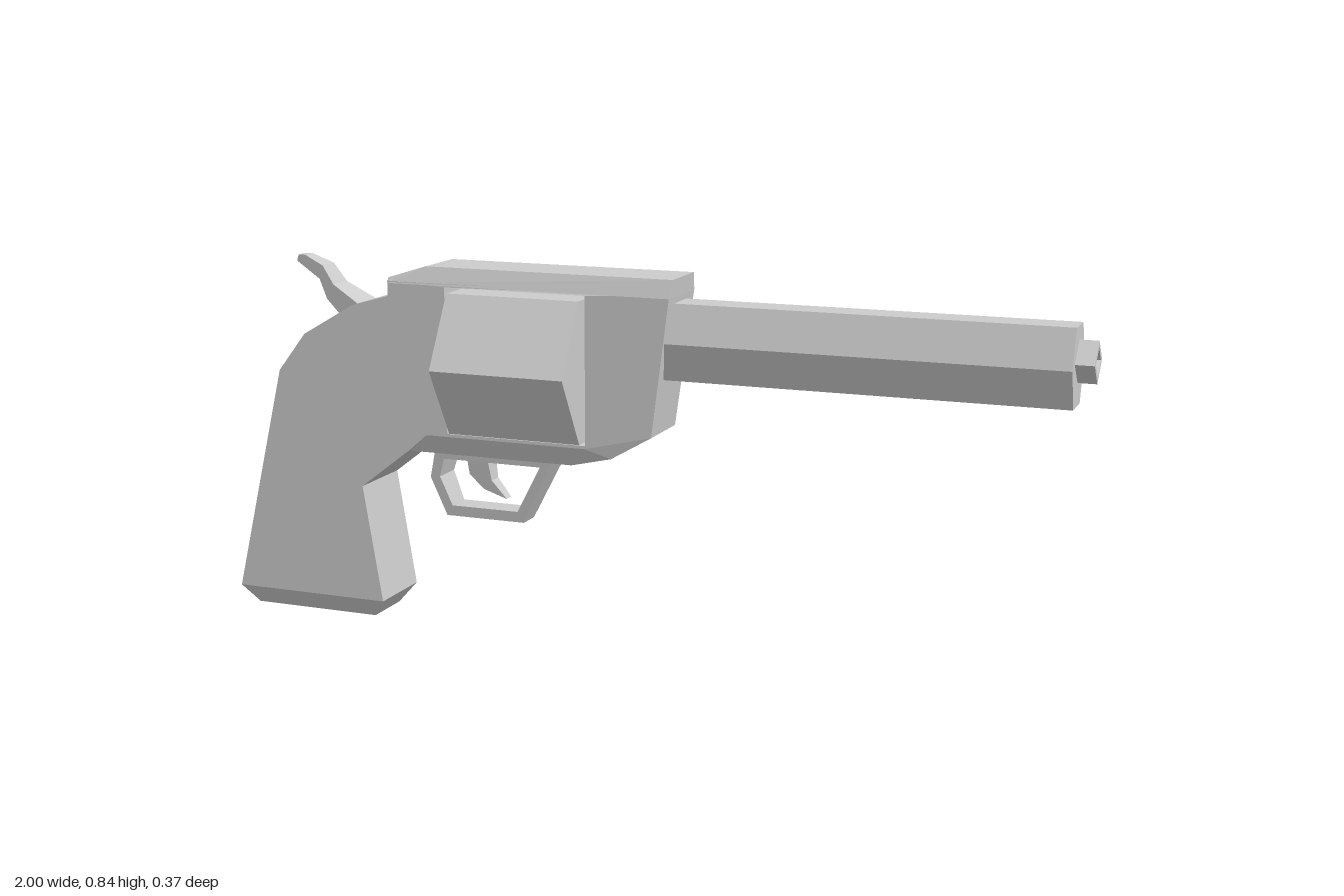
import * as THREE from 'three';
import { ConvexGeometry } from 'three/addons/geometries/ConvexGeometry.js';

const material = new THREE.MeshStandardMaterial({ color: 0xcccccc, flatShading: true });

// Side profile extruded across z; halfWidth(x, y) sets the thickness at each vertex.
function slab(points, halfWidth, hole) {
  const shape = new THREE.Shape(points.map(([x, y]) => new THREE.Vector2(x, y)));
  if (hole) shape.holes.push(new THREE.Path(hole.map(([x, y]) => new THREE.Vector2(x, y))));
  const geo = new THREE.ExtrudeGeometry(shape, { depth: 2, bevelEnabled: false });
  geo.translate(0, 0, -1);
  const p = geo.attributes.position;
  for (let i = 0; i < p.count; i++) p.setZ(i, p.getZ(i) * halfWidth(p.getX(i), p.getY(i)));
  geo.computeVertexNormals();
  return geo;
}

// Convex block from [x, y, half width] corners mirrored across z.
function block(corners) {
  return new ConvexGeometry(corners.flatMap(([x, y, z]) =>
    [new THREE.Vector3(x, y, z), new THREE.Vector3(x, y, -z)]));
}

// Prism along x from a list of [y, z] corners.
function prismX(x0, x1, section) {
  return new ConvexGeometry(section.flatMap(([y, z]) =>
    [new THREE.Vector3(x0, y, z), new THREE.Vector3(x1, y, z)]));
}

function hexagon(cy, height, width, flat) {
  return [[cy, width], [cy + height, flat], [cy + height, -flat],
    [cy, -width], [cy - height, -flat], [cy - height, flat]];
}

export function createModel() {
  const group = new THREE.Group();
  const add = (name, geometry, z = 0) => {
    const mesh = new THREE.Mesh(geometry, material);
    mesh.name = name;
    mesh.position.z = z;
    group.add(mesh);
    return mesh;
  };

  // Grip and frame in one piece, with a window for the cylinder
  add('gripAndFrame', slab(
    [[-1, 0.045], [-0.615, 0.045], [-0.66, 0.32], [-0.53, 0.42], [-0.49, 0.455],
      [-0.1, 0.455], [-0.04, 0.435], [0.055, 0.49], [0.098, 0.805], [-0.58, 0.805],
      [-0.58, 0.77], [-0.67, 0.745], [-0.8, 0.67], [-0.87, 0.58]],
    (x, y) => (x < -0.05 ? 0.085 : y > 0.6 ? 0.08 : 0.075),
    [[-0.437, 0.462], [-0.437, 0.797], [-0.097, 0.797], [-0.097, 0.462]]));

  // Chamfered butt
  add('gripBase', block([[-1, 0.045, 0.085], [-0.615, 0.045, 0.085],
    [-0.965, 0, 0.06], [-0.65, 0, 0.06]]));

  // Chamfered straps above and below the window
  add('topStrap', block([[-0.58, 0.8, 0.083], [0.098, 0.8, 0.08], [-0.58, 0.812, 0.076],
    [-0.49, 0.84, 0.066], [0.102, 0.84, 0.066]]), 0.003);
  add('bottomStrap', block([[-0.49, 0.457, 0.084], [-0.1, 0.457, 0.084], [-0.04, 0.435, 0.075],
    [-0.55, 0.41, 0.064], [-0.14, 0.41, 0.064]]));

  // Six-sided cylinder and barrel
  add('cylinder', prismX(-0.428, -0.108, hexagon(0.625, 0.16, 0.186, 0.093)));
  add('barrel', prismX(0.04, 0.96, hexagon(0.7, 0.085, 0.068, 0.039)), 0.004);

  // Square muzzle with a tapered bore
  const muzzleProfile = [[0.045, 0], [0.045, 0.05], [0.031, 0.05], [0.015, 0.015], [0, 0.015]]
    .map(([r, h]) => new THREE.Vector2(r, h));
  const muzzle = add('muzzle', new THREE.LatheGeometry(muzzleProfile, 4), 0.004);
  muzzle.rotation.z = -Math.PI / 2;
  muzzle.position.x = 0.95;
  muzzle.position.y = 0.71;

  // Hammer, widening towards its base
  add('hammer', slab(
    [[-0.855, 0.828], [-0.79, 0.79], [-0.77, 0.745], [-0.72, 0.7], [-0.67, 0.735],
      [-0.75, 0.78], [-0.78, 0.822], [-0.83, 0.843], [-0.85, 0.843]],
    (x) => THREE.MathUtils.mapLinear(x, -0.855, -0.67, 0.013, 0.046)));

  // Trigger guard, narrowing downwards
  add('triggerGuard', slab(
    [[-0.49, 0.415], [-0.507, 0.345], [-0.47, 0.255], [-0.275, 0.255], [-0.195, 0.415]],
    (x, y) => THREE.MathUtils.mapLinear(y, 0.255, 0.41, 0.028, 0.042),
    [[-0.47, 0.392], [-0.483, 0.348], [-0.455, 0.28], [-0.29, 0.28], [-0.228, 0.392]]));

  // Trigger
  add('trigger', slab(
    [[-0.42, 0.4], [-0.415, 0.355], [-0.38, 0.322], [-0.325, 0.303], [-0.36, 0.345], [-0.368, 0.4]],
    (x, y) => THREE.MathUtils.mapLinear(y, 0.3, 0.4, 0.012, 0.024)));

  return group;
}
